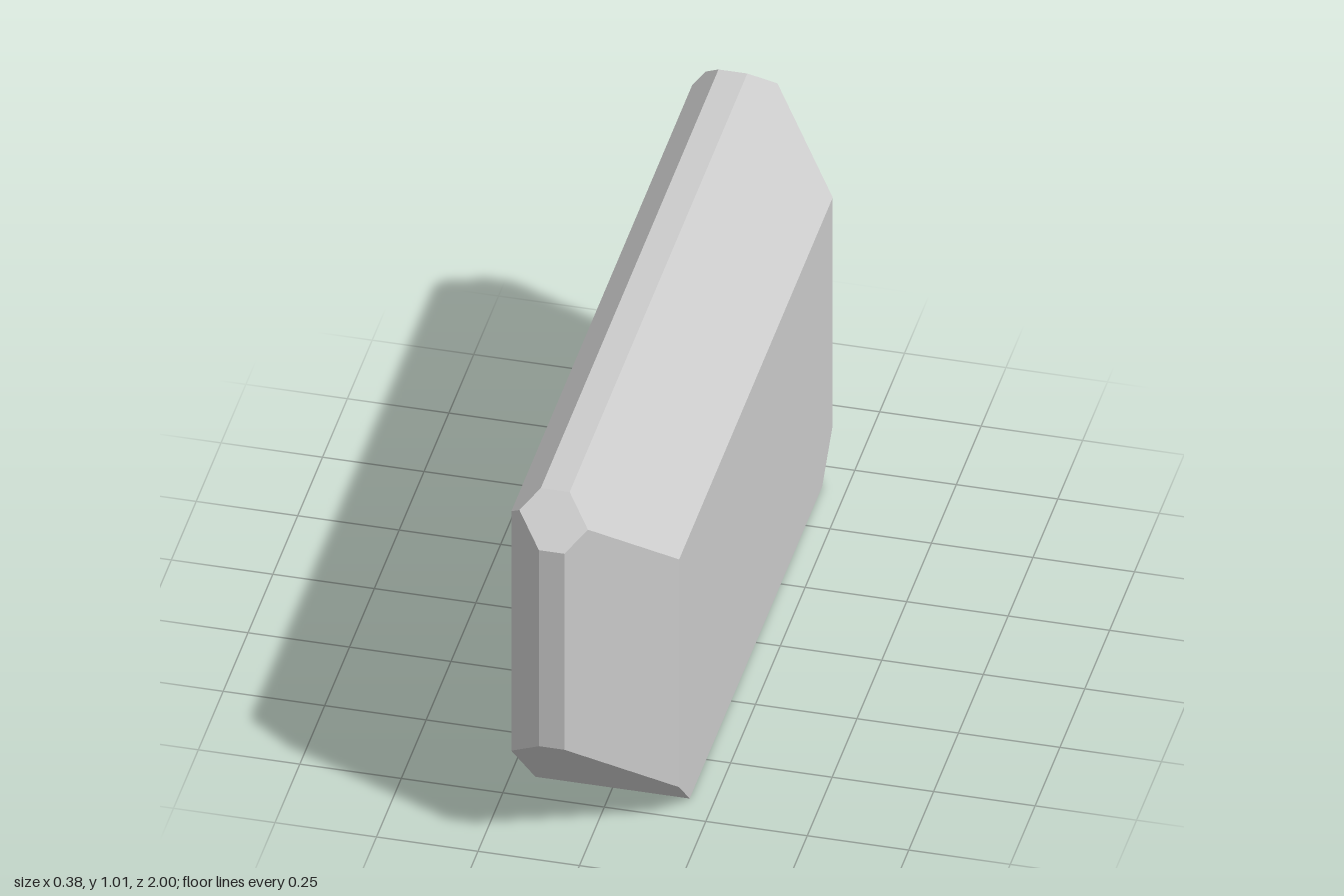
import * as THREE from 'three';
import { ConvexGeometry } from 'three/addons/geometries/ConvexGeometry.js';

export function createModel() {
  const group = new THREE.Group();
  group.name = 'bevelledSlab';

  // Corners of the front half; the back half mirrors them in z
  const corners = [
    // top ridge
    [-0.121, 1.013, 0.894], [-0.05, 1.013, 0.894],
    // corner facet, sides
    [-0.1635, 0.9705, 0.9365], [0.0095, 0.9535, 0.9535],
    // narrow end face
    [-0.10, 0.907, 1], [-0.037, 0.907, 1], [-0.10, 0.333, 1], [-0.037, 0.333, 1],
    // side walls
    [-0.19, 0.944, 0.91], [-0.19, 0.243, 0.91],
    [0.19, 0.773, 0.773], [0.19, 0.106, 0.773],
    // base
    [-0.19, 0, 0.667], [0.19, 0, 0.667],
  ];
  const points = corners.flatMap(([x, y, z]) => [
    new THREE.Vector3(x, y, z),
    new THREE.Vector3(x, y, -z),
  ]);

  const body = new THREE.Mesh(
    new ConvexGeometry(points),
    new THREE.MeshStandardMaterial({ color: 0xcccccc, flatShading: true }),
  );
  body.name = 'body';
  group.add(body);
  return group;
}
